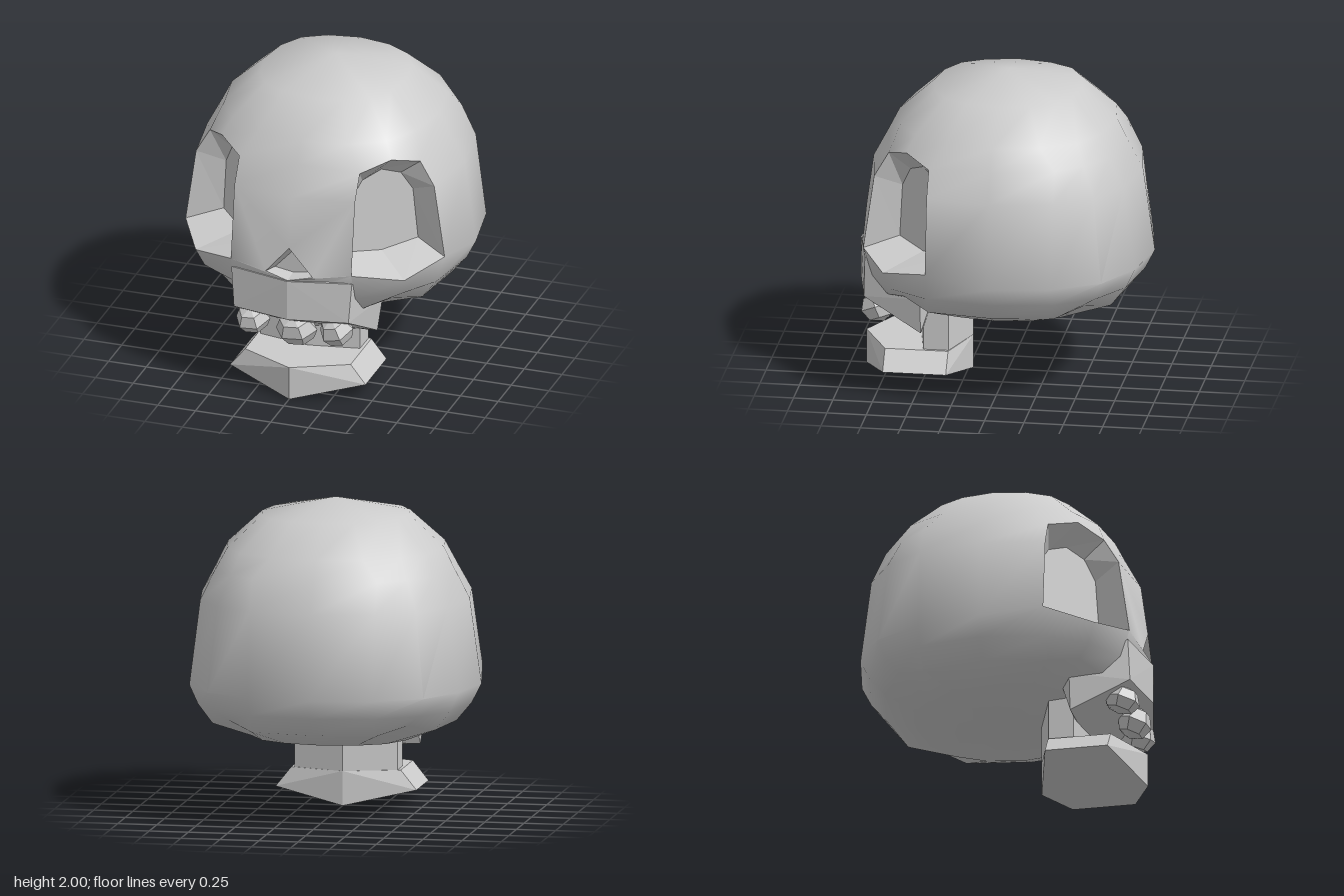
import * as THREE from 'three';
import { toCreasedNormals } from 'three/addons/utils/BufferGeometryUtils.js';
import { ConvexGeometry } from 'three/addons/geometries/ConvexGeometry.js';

const V = (x, y, z) => new THREE.Vector3(x, y, z);
const flip = (p) => V(-p.x, p.y, p.z);
const flat = new THREE.MeshStandardMaterial({ color: 0xcccccc, flatShading: true });
const smooth = new THREE.MeshStandardMaterial({ color: 0xcccccc });

// fan-triangulates convex polygons, optionally with smoothed normals
function surface(polys, crease) {
  const pts = [];
  for (const p of polys) for (let k = 1; k < p.length - 1; k++) pts.push(p[0], p[k], p[k + 1]);
  const geo = new THREE.BufferGeometry().setFromPoints(pts);
  geo.computeVertexNormals();
  return crease ? toCreasedNormals(geo, crease) : geo;
}

// convex block from half of its corners, mirrored across x
function block(half) {
  return new ConvexGeometry(half.flatMap(([x, y, z]) => (x ? [V(x, y, z), V(-x, y, z)] : [V(x, y, z)])));
}

// walls from a rim to a recessed floor, plus the floor
function recess(rim, floor) {
  const polys = rim.map((p, k) => {
    const n = (k + 1) % rim.length;
    return [p, rim[n], floor[n], floor[k]];
  });
  for (let k = 1; k < floor.length - 1; k++) polys.push([floor[0], floor[k], floor[k + 1]]);
  return polys;
}

const mirrored = (polys) => polys.map((p) => p.map(flip).reverse());

// cranium rings: height and radius, bottom to top
const RINGS = [
  [0.45, 0], [0.5, 0.53], [0.6, 0.77], [0.72, 0.87], [0.84, 0.93],
  [1.38, 0.855], [1.57, 0.755], [1.7, 0.69], [1.9, 0.47], [2, 0],
];
const LOW = 4, HIGH = 6, COLS = 16;

// point on ring j at column i; column 0 faces front, column 4 faces +x
function skullPoint(i, j) {
  i = (i + COLS) % COLS;
  let [y, r] = RINGS[j];
  const side = r > 0.75 ? 0.4 : 0.43 * r;
  let [x, z] = [[0, r], [side, 0.925 * r], [0.745 * r, 0.745 * r], [0.925 * r, side]][i % 4];
  for (let q = 0; q < Math.floor(i / 4); q++) [x, z] = [z, -x];
  const front = i < 4 || i > 12;
  if (j === 2 && i % 4 === 2) y = 0.65;
  if (front && i % 2 && j === LOW) y = 0.9;
  if (front && i % 4 && j === HIGH) y = i % 2 ? 1.54 : 1.6;
  return V(x, y, z);
}

export function createModel() {
  const skull = new THREE.Group();
  skull.name = 'skull';
  const add = (name, geo, mat = flat) => {
    const mesh = new THREE.Mesh(geo, mat);
    mesh.name = name;
    skull.add(mesh);
    return mesh;
  };

  // nose opening: rim and recessed floor
  const noseRim = [skullPoint(0, LOW), V(0.155, 0.87, 0.9), V(0, 1.05, 0.9), V(-0.155, 0.87, 0.9)];
  const noseFloor = [V(0, 0.85, 0.82), V(0.12, 0.87, 0.82), V(0, 1.0, 0.82), V(-0.12, 0.87, 0.82)];

  // cranium, leaving out the eye and nose openings
  const shell = [];
  for (let j = 0; j < RINGS.length - 1; j++) {
    for (let i = 0; i < COLS; i++) {
      const eye = [1, 2, 13, 14].includes(i) && j >= LOW && j < HIGH;
      const nose = (i === 0 || i === 15) && j === LOW;
      if (eye || nose) continue;
      const a = skullPoint(i, j), b = skullPoint(i + 1, j);
      const c = skullPoint(i + 1, j + 1), d = skullPoint(i, j + 1);
      shell.push(j === 0 ? [a, c, d] : j === RINGS.length - 2 ? [a, b, c] : [a, b, c, d]);
    }
  }
  // face panels around the nose
  const B = skullPoint(1, LOW), C = skullPoint(1, LOW + 1), D = skullPoint(0, LOW + 1);
  const [A, N, T] = noseRim;
  const face = [[A, B, N], [N, B, C], [N, C, T], [T, C, D]];
  shell.push(...face, ...mirrored(face));
  add('cranium', surface(shell, 0.75), smooth);
  add('noseOpening', surface(recess(noseRim, noseFloor)));

  // eye sockets, symmetric about the diagonal, with a flat back wall
  const rim = [[1, 4], [2, 4], [3, 4], [3, 5], [3, 6], [2, 6], [1, 6], [1, 5]].map(([i, j]) => skullPoint(i, j));
  const back = [
    [0.29, 0.955], [0.465, 0.92], [0.645, 0.955], [0.62, 1.3],
    [0.56, 1.43], [0.465, 1.48], [0.37, 1.43], [0.31, 1.3],
  ].map(([x, y]) => V(x, y, 0.935 - x));
  const socket = recess(rim, back);
  add('leftEyeSocket', surface(socket));
  add('rightEyeSocket', surface(mirrored(socket)));

  // upper jaw with a sloping underside
  add('upperJaw', block([
    [0, 0.835, 0.935], [0.4, 0.84, 0.85], [0, 0.57, 0.935], [0.38, 0.57, 0.86],
    [0, 0.345, 0.52], [0.445, 0.365, 0.49], [0.48, 0.6, 0.49], [0.4, 0.65, 0.4],
  ]));

  // three chunky teeth
  const teeth = [
    [-0.275, 0.48, 0.79, 0.115, 0.09, 0.12, 0.1],
    [0.02, 0.455, 0.81, 0.14, 0.105, 0.11, 0.12],
    [0.275, 0.475, 0.78, 0.115, 0.1, 0.12, 0.25],
  ];
  for (const [x, y, z, w, h, d, tilt] of teeth) {
    const tooth = add('tooth', new THREE.SphereGeometry(1, 6, 4));
    tooth.scale.set(w, h, d);
    tooth.position.set(x, y, z);
    tooth.rotation.set(0.35, 0, tilt);
  }

  // lower jaw: keeled chin plate and the post that joins it to the skull
  add('chin', block([
    [0, 0, 0.9], [0.45, 0.095, 0.73], [0.45, 0.095, 0.33], [0, 0, 0.22],
    [0, 0.22, 0.9], [0.35, 0.22, 0.73], [0.35, 0.22, 0.33], [0, 0.22, 0.22],
  ]));
  const post = [[0, 0.22], [0.33, 0.33], [0.33, 0.49], [0, 0.55]];
  add('jawPost', block([0.15, 0.55].flatMap((y) => post.map(([x, z]) => [x, y, z]))));

  return skull;
}
